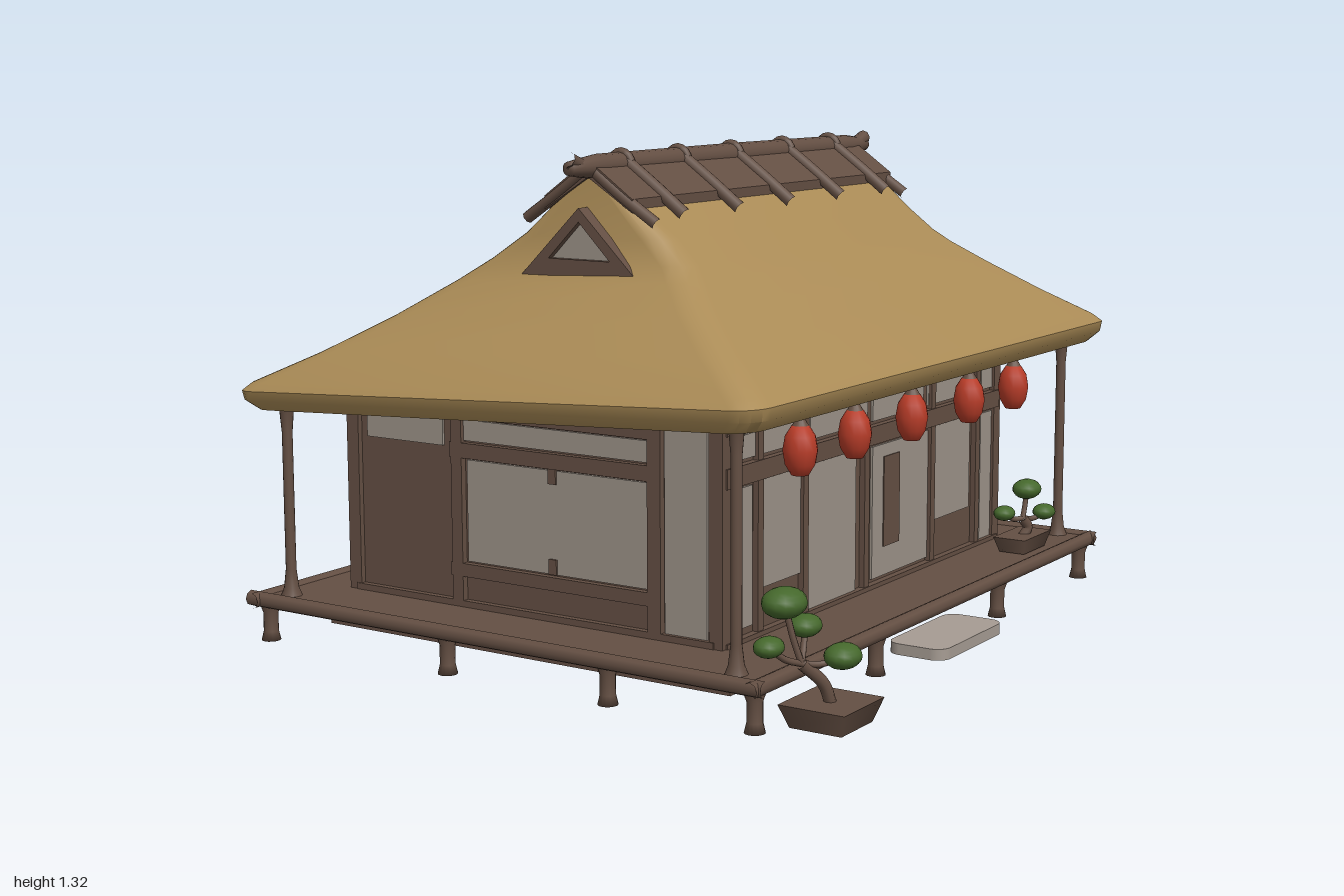
import * as THREE from 'three';
import { toCreasedNormals } from 'three/addons/utils/BufferGeometryUtils.js';

const mat = (name, color) => Object.assign(new THREE.MeshStandardMaterial({ color }), { name });

export function createModel() {
  const root = new THREE.Group();
  root.name = 'thatchedHouse';
  const thatch = mat('thatch', 0xaa8b56);
  const wood = mat('wood', 0x644f43);
  const paper = mat('paper', 0x9c9288);
  const red = mat('lanternRed', 0xb83c28);
  const green = mat('foliageGreen', 0x45682c);
  const stone = mat('stone', 0xa69c93);

  const add = (name, geo, m, parent = root) => {
    const mesh = new THREE.Mesh(geo, m);
    mesh.name = name;
    parent.add(mesh);
    return mesh;
  };
  const box = (name, m, x0, x1, y0, y1, z0, z1, parent) => {
    const mesh = add(name, new THREE.BoxGeometry(x1 - x0, y1 - y0, z1 - z0), m, parent);
    mesh.position.set((x0 + x1) / 2, (y0 + y1) / 2, (z0 + z1) / 2);
    return mesh;
  };
  const rod = (name, m, pts, r, parent) => add(name, new THREE.TubeGeometry(
    new THREE.CatmullRomCurve3(pts.map(p => new THREE.Vector3(...p))), 12, r, 8), m, parent);
  const lathe = (name, m, pts, x, y, z, parent) => {
    const mesh = add(name, new THREE.LatheGeometry(pts.map(p => new THREE.Vector2(...p)), 14), m, parent);
    mesh.position.set(x, y, z);
    return mesh;
  };

  // Loft of rounded rectangles; each ring is [xLeft, yLeft, xRight, yRight, zHalf]
  const loft = rings => {
    const pos = [], idx = [], n = 20;
    for (const [xl, yl, xr, yr, zh] of rings) {
      const r = Math.min(0.07, (xr - xl) / 2);
      for (let c = 0; c < 4; c++) for (let k = 0; k < 5; k++) {
        const a = (c + k / 4) * Math.PI / 2;
        const x = (c === 0 || c === 3 ? xr - r : xl + r) + r * Math.cos(a);
        const z = (c < 2 ? zh - r : r - zh) + r * Math.sin(a);
        pos.push(x, yl + (yr - yl) * (x - xl) / (xr - xl), z);
      }
    }
    for (let i = 0; i < rings.length - 1; i++) for (let j = 0; j < n; j++) {
      const a = i * n + j, b = i * n + (j + 1) % n;
      idx.push(a, a + n, b, b, a + n, b + n);
    }
    const g = new THREE.BufferGeometry();
    g.setAttribute('position', new THREE.Float32BufferAttribute(pos, 3));
    g.setIndex(idx);
    return toCreasedNormals(g, 0.75);
  };

  // Thatched roof with a lower left eave, and the wooden soffit below it
  add('roof', loft([
    [-0.82, 0.645, 0.63, 0.72, 0.92], [-0.87, 0.635, 0.685, 0.715, 0.97],
    [-0.9, 0.66, 0.715, 0.745, 0.993], [-0.905, 0.685, 0.72, 0.775, 0.997],
    [-0.885, 0.705, 0.695, 0.797, 0.98], [-0.72, 0.787, 0.57, 0.87, 0.89],
    [-0.55, 0.885, 0.44, 0.955, 0.79], [-0.4, 0.98, 0.36, 1.015, 0.715],
    [-0.31, 1.04, 0.32, 1.05, 0.68], [-0.21, 1.11, 0.25, 1.11, 0.664],
    [0, 1.275, 0.04, 1.275, 0.655]]), thatch);
  add('soffit', loft([[-0.7, 0.67, 0.45, 0.725, 0.73], [-0.82, 0.645, 0.63, 0.72, 0.92]]), wood);

  // Ridge cover, pole and saddle ribs
  const ridge = new THREE.Group();
  ridge.name = 'ridge';
  root.add(ridge);
  const cap = new THREE.Shape([[-0.115, 1.175], [0.02, 1.26], [0.155, 1.175], [0.155, 1.21], [0.02, 1.305], [-0.115, 1.21]]
    .map(p => new THREE.Vector2(...p)));
  add('ridgeCover', new THREE.ExtrudeGeometry(cap, { depth: 1.33, bevelEnabled: false }), wood, ridge).position.z = -0.665;
  const pole = [[0, -0.745], [0.018, -0.745], [0.024, -0.7], [0.032, -0.63], [0.034, 0], [0.032, 0.63], [0.024, 0.7], [0.018, 0.745], [0, 0.745]];
  lathe('ridgePole', wood, pole, 0.02, 1.285, 0, ridge).rotation.x = Math.PI / 2;
  for (const s of [-1, 1])
    rod('ridgeTip', wood, [[0.02, 1.275, s * 0.62], [0.02, 1.285, s * 0.68], [0.02, 1.308, s * 0.745]], 0.02, ridge);
  for (const z of [-0.53, -0.27, 0, 0.26, 0.52]) {
    for (const s of [-1, 1])
      rod('saddleRib', wood, [[0.02, 1.305, z], [0.02 + s * 0.1, 1.235, z], [0.02 + s * 0.195, 1.165, z]], 0.018, ridge);
    const ring = add('ridgeBinding', new THREE.TorusGeometry(0.032, 0.012, 8, 16), wood, ridge);
    ring.position.set(0.02, 1.285, z);
  }

  // Gable vents and bargeboards on both ends
  const tri = (w, y0, y1) => [[0.015 - w, y0], [0.015 + w, y0], [0.015, y1]].map(p => new THREE.Vector2(...p));
  for (const s of [1, -1]) {
    const gable = new THREE.Group();
    gable.name = s > 0 ? 'frontGable' : 'backGable';
    const frame = new THREE.Shape(tri(0.185, 1.005, 1.185));
    frame.holes.push(new THREE.Path(tri(0.095, 1.055, 1.15)));
    add('ventFrame', new THREE.ExtrudeGeometry(frame, { depth: 0.08, bevelEnabled: false }), wood, gable).position.z = 0.62;
    const vent = add('ventPanel', new THREE.ShapeGeometry(new THREE.Shape(tri(0.11, 1.045, 1.16))), paper, gable);
    vent.position.z = 0.682;
    for (const d of [-1, 1])
      rod('bargeboard', wood, [[0.02, 1.285, 0.655], [0.02 + d * 0.1, 1.215, 0.655], [0.02 + d * 0.2, 1.15, 0.652]], 0.016, gable);
    if (s < 0) { gable.rotation.y = Math.PI; gable.position.x = 0.03; }
    root.add(gable);
  }

  // Foundation, deck and walls
  box('foundation', wood, -0.78, 0.51, 0.025, 0.1, -0.8, 0.77);
  box('deck', wood, -0.88, 0.7, 0.1, 0.128, -0.94, 0.96);
  for (const z of [-0.94, 0.95]) rod('deckEdge', wood, [[-0.9, 0.118, z], [0.72, 0.118, z]], 0.021);
  for (const x of [-0.87, 0.695]) rod('deckEdge', wood, [[x, 0.118, -0.95], [x, 0.118, 0.98]], 0.021);
  box('walls', wood, -0.71, 0.46, 0.1, 0.725, -0.755, 0.735);
  const foot = [[0, 0.005], [0.026, 0.005], [0.02, 0.03], [0.02, 0.08], [0.03, 0.11]];
  for (const z of [-0.9, 0.93]) for (const x of [-0.85, -0.24, 0.26, 0.68]) lathe('deckFoot', wood, foot, x, 0, z);
  for (const x of [-0.85, 0.68]) for (const z of [-0.35, 0.35]) lathe('deckFoot', wood, foot, x, 0, z);

  // Verandah posts, flared at the foot and head
  for (const x of [-0.8, 0.61]) for (const z of [-0.9, 0.9]) {
    const top = x < 0 ? 0.67 : 0.75;
    lathe('verandahPost', wood, [[0.032, 0.12], [0.02, 0.15], [0.014, 0.2], [0.014, top - 0.1], [0.02, top - 0.03], [0.034, top]], x, 0, z);
  }

  // Corner posts of the house
  for (const x of [-0.705, 0.455]) for (const z of [-0.75, 0.73])
    box('cornerPost', wood, x - 0.02, x + 0.02, 0.12, 0.72, z - 0.02, z + 0.02);

  // End walls: paper panels [x0, x1, y0, y1] with rails and studs
  const endPanels = [[0.3, 0.425, 0.135, 0.69], [-0.32, -0.04, 0.25, 0.52], [-0.045, 0.25, 0.25, 0.52],
    [-0.33, 0.25, 0.57, 0.625], [-0.66, -0.4, 0.55, 0.62]];
  for (const [face, s] of [[0.735, 1], [-0.755, -1]]) {
    const wall = new THREE.Group();
    wall.name = s > 0 ? 'frontWall' : 'backWall';
    wall.position.z = face;
    root.add(wall);
    const slab = (name, m, p, d) => box(name, m, p[0], p[1], p[2], p[3], Math.min(0, s * d), Math.max(0, s * d), wall);
    for (const p of endPanels) slab('paperPanel', paper, p, 0.007);
    for (const p of [[-0.37, 0.28, 0.525, 0.565], [-0.7, 0.28, 0.63, 0.67], [-0.37, 0.28, 0.21, 0.245],
      [-0.365, -0.33, 0.12, 0.66], [0.255, 0.295, 0.12, 0.68], [-0.7, 0.45, 0.12, 0.145]]) slab('wallRail', wood, p, 0.018);
    slab('windowMullion', wood, [-0.055, -0.03, 0.25, 0.29], 0.012);
    slab('windowMullion', wood, [-0.055, -0.03, 0.485, 0.53], 0.012);
  }

  // Verandah wall: panels [z0, z1, y0, y1]
  const side = new THREE.Group();
  side.name = 'verandahWall';
  root.add(side);
  for (const [z0, z1, y0, y1] of [[0.6, 0.7, 0.16, 0.515], [0.36, 0.55, 0.245, 0.52], [0.08, 0.35, 0.14, 0.52],
    [-0.33, -0.01, 0.15, 0.515], [-0.59, -0.36, 0.25, 0.52], [-0.75, -0.66, 0.135, 0.515],
    [0.35, 0.7, 0.585, 0.645], [0.02, 0.32, 0.585, 0.645], [-0.3, -0.01, 0.585, 0.645],
    [-0.61, -0.33, 0.585, 0.645], [-0.75, -0.66, 0.585, 0.645]])
    box('paperPanel', paper, 0.46, 0.467, y0, y1, z0, z1, side);
  box('doorInset', wood, 0.46, 0.47, 0.23, 0.48, -0.16, -0.07, side);
  for (const [y0, y1] of [[0.525, 0.575], [0.655, 0.7], [0.115, 0.14]])
    box('wallRail', wood, 0.45, 0.48, y0, y1, -0.755, 0.735, side);
  for (const z of [0.575, 0.355, 0.035, -0.345, -0.625])
    box('wallStud', wood, 0.45, 0.476, 0.13, z === 0.035 ? 0.53 : 0.66, z - 0.013, z + 0.013, side);

  // Left wall with two wide panels
  const left = new THREE.Group();
  left.name = 'leftWall';
  root.add(left);
  for (const [z0, z1] of [[-0.64, -0.36], [-0.33, -0.1], [0.06, 0.36], [0.39, 0.68]])
    box('paperPanel', paper, -0.717, -0.71, 0.19, 0.59, z0, z1, left);
  for (const [y0, y1] of [[0.12, 0.16], [0.61, 0.66]])
    box('wallRail', wood, -0.726, -0.7, y0, y1, -0.755, 0.735, left);
  box('wallStud', wood, -0.726, -0.7, 0.12, 0.65, -0.04, 0, left);

  // Hanging lanterns
  for (const z of [0.595, 0.325, 0.02, -0.315, -0.595]) {
    const lantern = new THREE.Group();
    lantern.name = 'lantern';
    lantern.position.set(0.6, 0.615, z);
    root.add(lantern);
    lathe('lanternBody', red, [[0, -0.066], [0.022, -0.062], [0.038, -0.035], [0.044, 0], [0.038, 0.035], [0.022, 0.06], [0, 0.064]], 0, 0, 0, lantern);
    lathe('lanternCap', wood, [[0.022, 0.058], [0.014, 0.072], [0.006, 0.082], [0.006, 0.125]], 0, 0, 0, lantern);
  }

  // Stepping stone beside the deck
  const step = new THREE.Shape();
  step.absarc(0.045, 0.14, 0.04, 0, Math.PI / 2);
  step.absarc(-0.045, 0.14, 0.04, Math.PI / 2, Math.PI);
  step.absarc(-0.045, -0.14, 0.04, Math.PI, Math.PI * 1.5);
  step.absarc(0.045, -0.14, 0.04, Math.PI * 1.5, Math.PI * 2);
  const stepMesh = add('steppingStone', new THREE.ExtrudeGeometry(step, { depth: 0.03, bevelEnabled: false }), stone);
  stepMesh.rotation.x = -Math.PI / 2;
  stepMesh.position.set(0.7, 0.012, 0);

  // Potted trees: pot, bent trunk, branches and flattened leaf pads [x, y, z, radius]
  const tree = (name, base, potW, potD, potH, fork, pads) => {
    const g = new THREE.Group();
    g.name = name;
    root.add(g);
    const pot = add('pot', new THREE.CylinderGeometry(Math.SQRT1_2, 0.55, potH, 4).rotateY(Math.PI / 4), wood, g);
    pot.scale.set(potW, 1, potD);
    pot.position.set(base[0], base[1] + potH / 2, base[2]);
    const foot = [base[0], base[1] + potH - 0.01, base[2]];
    rod('trunk', wood, [foot, [(foot[0] + fork[0]) / 2 + 0.01, (foot[1] + fork[1]) / 2, (foot[2] + fork[2]) / 2 - 0.015], fork], 0.015, g);
    for (const [x, y, z, r] of pads) {
      rod('branch', wood, [fork, [(fork[0] + x) / 2, (fork[1] + y) / 2 - 0.01, (fork[2] + z) / 2], [x, y, z]], 0.008, g);
      const pad = add('leafPad', new THREE.SphereGeometry(r, 14, 10), green, g);
      pad.scale.set(0.85, 0.6, 1);
      pad.position.set(x, y, z);
    }
  };
  tree('gardenTree', [0.81, 0.012, 0.8], 0.18, 0.19, 0.058, [0.77, 0.17, 0.87],
    [[0.735, 0.315, 0.89, 0.062], [0.835, 0.18, 0.79, 0.052], [0.75, 0.248, 0.82, 0.046], [0.73, 0.222, 0.95, 0.042]]);
  tree('deckTree', [0.61, 0.13, -0.655], 0.1, 0.18, 0.045, [0.61, 0.22, -0.655],
    [[0.61, 0.303, -0.68, 0.048], [0.645, 0.232, -0.725, 0.038], [0.575, 0.24, -0.605, 0.036]]);

  return root;
}
